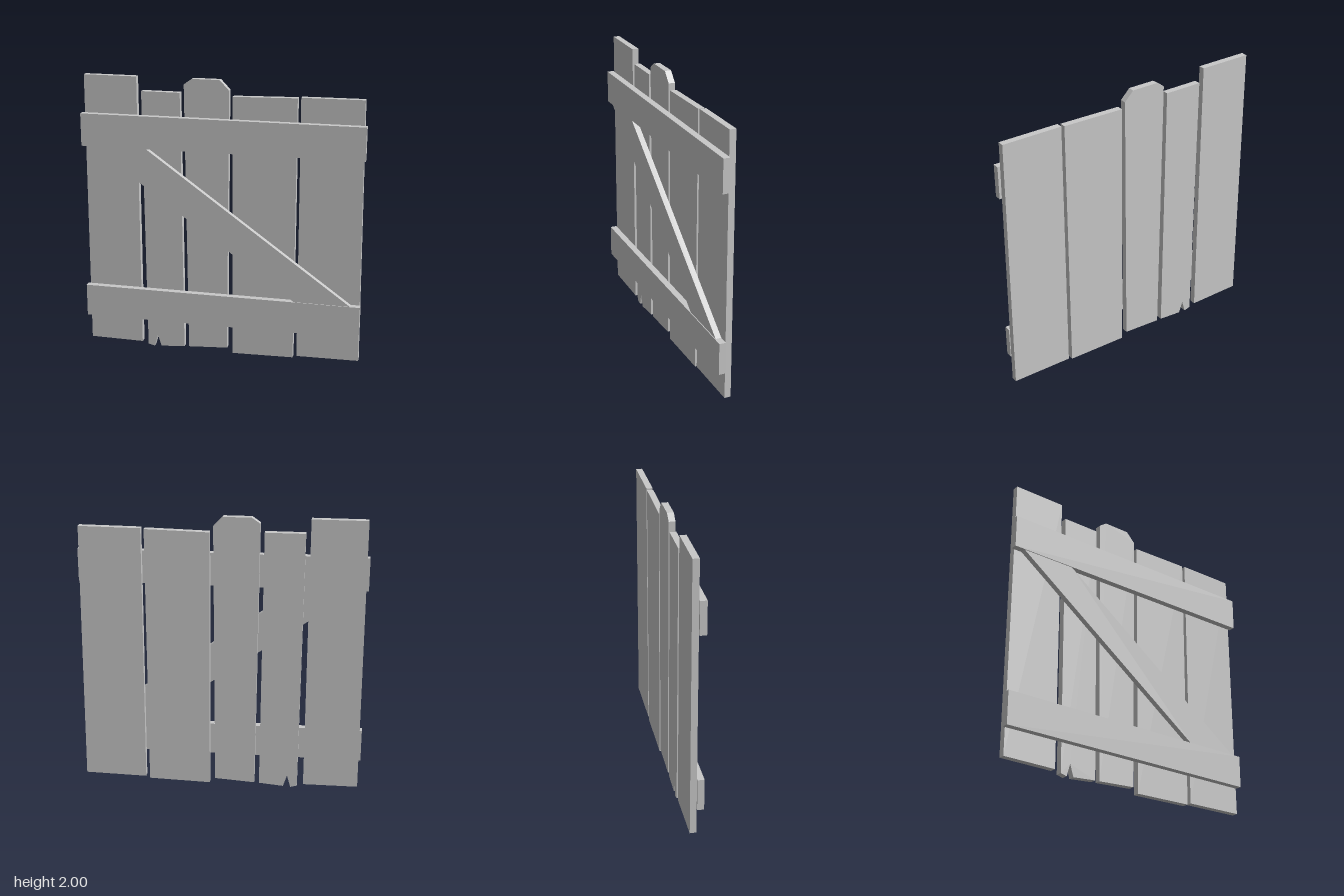
import * as THREE from 'three';

const wood = new THREE.MeshStandardMaterial({ color: 0xc8c8c8 });
wood.name = 'light grey wood';

// Board cut from an outline in x, y and given a thickness from back to front
function board(name, outline, back, front) {
  const shape = new THREE.Shape(outline.map(([x, y]) => new THREE.Vector2(x, y)));
  const geometry = new THREE.ExtrudeGeometry(shape, { depth: front - back, bevelEnabled: false });
  geometry.translate(0, 0, back);
  const mesh = new THREE.Mesh(geometry, wood);
  mesh.name = name;
  return mesh;
}

export function createModel() {
  const group = new THREE.Group();
  group.name = 'plankGate';

  // Upright planks, each slightly irregular
  const planks = [
    [[-0.985, 0.03], [-0.595, 0.028], [-0.6, 2], [-0.98, 2]],
    // Plank with a split at its foot
    [[-0.55, 0.012], [-0.503, 0], [-0.478, 0.09], [-0.45, 0.005], [-0.275, 0.02],
      [-0.291, 1.9], [-0.567, 1.9]],
    // Plank with clipped top corners
    [[-0.24, 0.022], [0.045, 0.04], [0.055, 1.932], [-0.01, 2], [-0.205, 2], [-0.262, 1.96]],
    [[0.085, 0.003], [0.527, 0.014], [0.527, 1.9], [0.08, 1.89]],
    [[0.555, 0.028], [0.997, 0.036], [0.98, 1.908], [0.55, 1.905]],
  ];
  planks.forEach((outline, i) => group.add(board(`plank${i + 1}`, outline, -0.045, 0)));

  // Cross rails on the front
  group.add(board('upperRail', [[-1, 1.5], [1, 1.503], [1, 1.736], [-1, 1.732]], 0, 0.047));
  group.add(board('lowerRail', [[-1, 0.22], [1, 0.226], [1, 0.457], [-1, 0.454]], 0, 0.047));

  // Diagonal brace between the rails
  group.add(board('diagonalBrace',
    [[0.535, 0.456], [0.93, 0.457], [-0.53, 1.501], [-0.922, 1.5]], 0, 0.041));

  return group;
}
